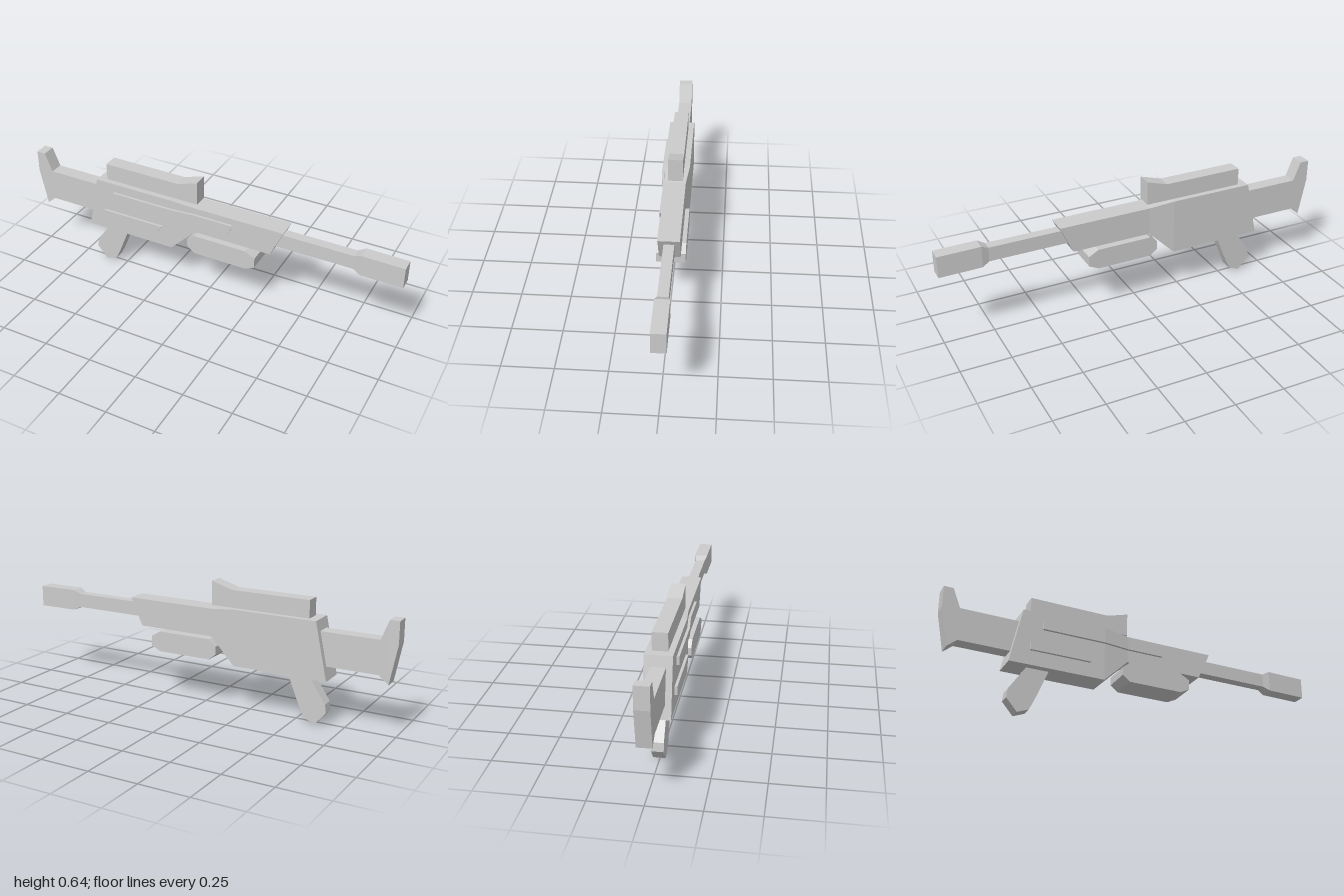
import * as THREE from 'three';

const material = new THREE.MeshStandardMaterial({ color: 0xcccccc, flatShading: true });
const MID = -0.0025; // z of the centre plane

// Lofts a solid through rectangular sections [xTop, yTop, xBottom, yBottom, zBack, zFront]
function loft(name, sections) {
  const positions = [];
  const rings = sections.map(([xt, yt, xb, yb, zb, zf]) => [
    [xt, yt, zf], [xt, yt, zb], [xb, yb, zb], [xb, yb, zf],
  ]);
  const quad = (a, b, c, d) => positions.push(...a, ...b, ...c, ...a, ...c, ...d);

  for (let s = 0; s < rings.length - 1; s++) {
    for (let i = 0; i < 4; i++) {
      const j = (i + 1) % 4;
      quad(rings[s][i], rings[s + 1][i], rings[s + 1][j], rings[s][j]);
    }
  }
  const [a, b, c, d] = rings[0];
  quad(a, b, c, d);
  const [e, f, g, h] = rings[rings.length - 1];
  quad(e, h, g, f);

  const geometry = new THREE.BufferGeometry();
  geometry.setAttribute('position', new THREE.Float32BufferAttribute(positions, 3));
  geometry.computeVertexNormals();
  const mesh = new THREE.Mesh(geometry, material);
  mesh.name = name;
  return mesh;
}

// Same loft with a half thickness around the centre plane, constant or one per section
function slab(name, half, sections) {
  return loft(name, sections.map((s, i) => {
    const h = Array.isArray(half) ? half[i] : half;
    return [...s, MID - h, MID + h];
  }));
}

export function createModel() {
  const model = new THREE.Group();
  model.name = 'rifle';

  model.add(
    // Receiver, narrowing into the fore-end
    slab('body', [0.0645, 0.0645, 0.051, 0.051], [
      [-0.615, 0.515, -0.675, 0.232],
      [-0.19, 0.515, -0.19, 0.232],
      [-0.06, 0.5, -0.06, 0.36],
      [0.41, 0.5, 0.345, 0.36],
    ]),
    // Barrel with a flared square muzzle
    slab('barrel', [0.025, 0.025, 0.034, 0.034], [
      [0.36, 0.472, 0.36, 0.4],
      [0.755, 0.472, 0.755, 0.4],
      [0.79, 0.49, 0.79, 0.382],
      [1, 0.488, 1, 0.38],
    ]),
    // Shoulder stock with flared butt
    slab('stock', 0.035, [
      [-1, 0.56, -1, 0.45],
      [-0.953, 0.56, -0.963, 0.257],
      [-0.915, 0.463, -0.915, 0.297],
      [-0.6, 0.463, -0.6, 0.297],
    ]),
    // Sight with raised front hood
    slab('scope', 0.0365, [
      [-0.57, 0.603, -0.57, 0.515],
      [-0.163, 0.603, -0.163, 0.515],
      [-0.055, 0.636, -0.055, 0.515],
    ]),
    // Chamfered block under the fore-end
    slab('foregrip', 0.071, [
      [-0.094, 0.318, -0.094, 0.277],
      [-0.056, 0.35, -0.056, 0.246],
      [0.225, 0.35, 0.225, 0.246],
      [0.275, 0.322, 0.275, 0.27],
    ]),
    // Raked pistol grip, lofted from its foot upwards
    slab('grip', 0.029, [
      [-0.61, 0, -0.553, 0.022],
      [-0.665, 0.063, -0.537, 0.055],
      [-0.66, 0.107, -0.517, 0.1],
      [-0.568, 0.245, -0.459, 0.245],
    ]),
    // Raised side strips that follow the narrowing of the body
    loft('upperSideStrip', [
      [-0.515, 0.468, -0.515, 0.427, 0.03, 0.075],
      [-0.19, 0.468, -0.19, 0.427, 0.03, 0.075],
      [-0.06, 0.466, -0.06, 0.425, 0.03, 0.061],
      [0.15, 0.466, 0.13, 0.425, 0.03, 0.061],
    ]),
    loft('lowerSideStrip', [
      [-0.575, 0.35, -0.575, 0.307, 0.03, 0.075],
      [-0.238, 0.35, -0.265, 0.307, 0.03, 0.075],
    ]),
  );
  return model;
}
